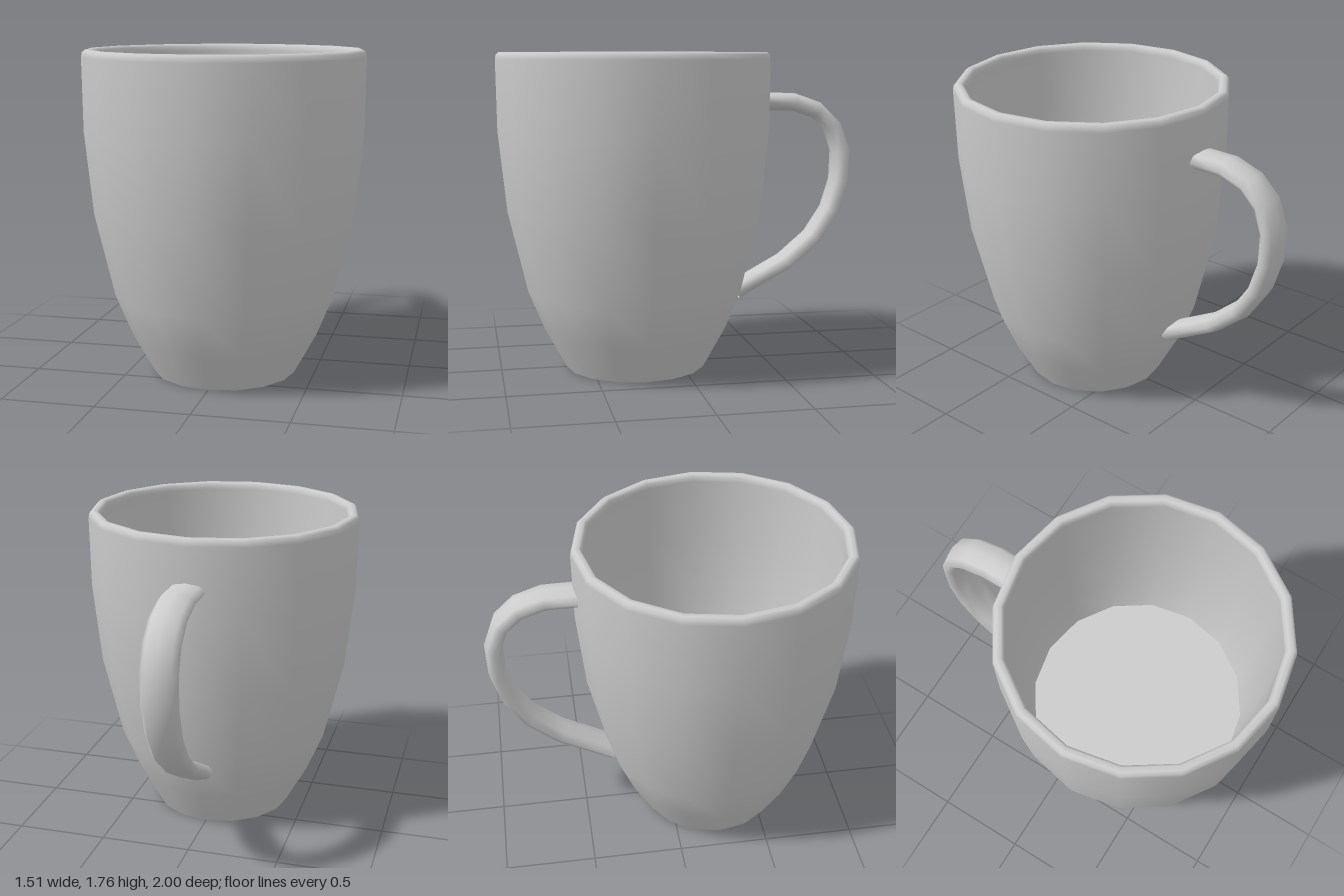
import * as THREE from 'three';

const SIDES = 16;
const CUP_Z = 0.245; // cup axis, shifted forward to balance the handle

function createHandle(material) {
  // Centre line as [z, y], from the upper joint to the lower one
  const path = [
    [-0.49, 1.48], [-0.665, 1.478], [-0.805, 1.43], [-0.9, 1.34], [-0.95, 1.2],
    [-0.945, 1.025], [-0.892, 0.855], [-0.79, 0.7], [-0.625, 0.56], [-0.33, 0.4],
  ].map(([z, y]) => new THREE.Vector2(z, y));
  const around = 8, halfWidth = 0.1, halfThick = 0.05;
  const positions = [], index = [];

  // Sweep a flattened oval along the path
  path.forEach((p, i) => {
    const a = path[Math.max(i - 1, 0)], b = path[Math.min(i + 1, path.length - 1)];
    const t = b.clone().sub(a).normalize();
    for (let j = 0; j < around; j++) {
      const ang = (j / around) * Math.PI * 2;
      const off = Math.sin(ang) * halfThick;
      positions.push(Math.cos(ang) * halfWidth, p.y - t.x * off, p.x + t.y * off);
      if (i < path.length - 1) {
        const k = (j + 1) % around;
        const v0 = i * around + j, v1 = i * around + k;
        index.push(v0, v1, v0 + around, v1, v1 + around, v0 + around);
      }
    }
  });
  const geometry = new THREE.BufferGeometry();
  geometry.setAttribute('position', new THREE.Float32BufferAttribute(positions, 3));
  geometry.setIndex(index);
  geometry.computeVertexNormals();
  const handle = new THREE.Mesh(geometry, material);
  handle.name = 'handle';
  return handle;
}

export function createModel() {
  const group = new THREE.Group();
  group.name = 'mug';
  const material = new THREE.MeshStandardMaterial({ color: 0xcccccc });
  const open = new THREE.MeshStandardMaterial({ color: 0xcccccc, side: THREE.DoubleSide });

  const cup = new THREE.Group();
  cup.name = 'cup';
  cup.position.z = CUP_Z;
  group.add(cup);

  // Outer wall, rounded rim and inner wall in one profile
  const profile = [
    [0.39, 0], [0.51, 0.22], [0.6, 0.44], [0.705, 0.89], [0.75, 1.33],
    [0.755, 1.72], [0.75, 1.745], [0.735, 1.758], [0.71, 1.758], [0.697, 1.745],
    [0.692, 1.72], [0.69, 1.36], [0.65, 0.89], [0.6, 0.65],
  ].map(([r, y]) => new THREE.Vector2(r, y));
  const wall = new THREE.Mesh(new THREE.LatheGeometry(profile, SIDES), material);
  wall.name = 'wall';
  cup.add(wall);

  // Flat discs: inner floor facing up, base facing down
  const disc = (name, radius, y, tilt) => {
    const mesh = new THREE.Mesh(new THREE.CircleGeometry(radius, SIDES), material);
    mesh.name = name;
    mesh.position.y = y;
    mesh.rotation.x = tilt;
    cup.add(mesh);
  };
  disc('innerFloor', 0.6, 0.65, -Math.PI / 2);
  disc('base', 0.39, 0, Math.PI / 2);

  group.add(createHandle(open));
  return group;
}
